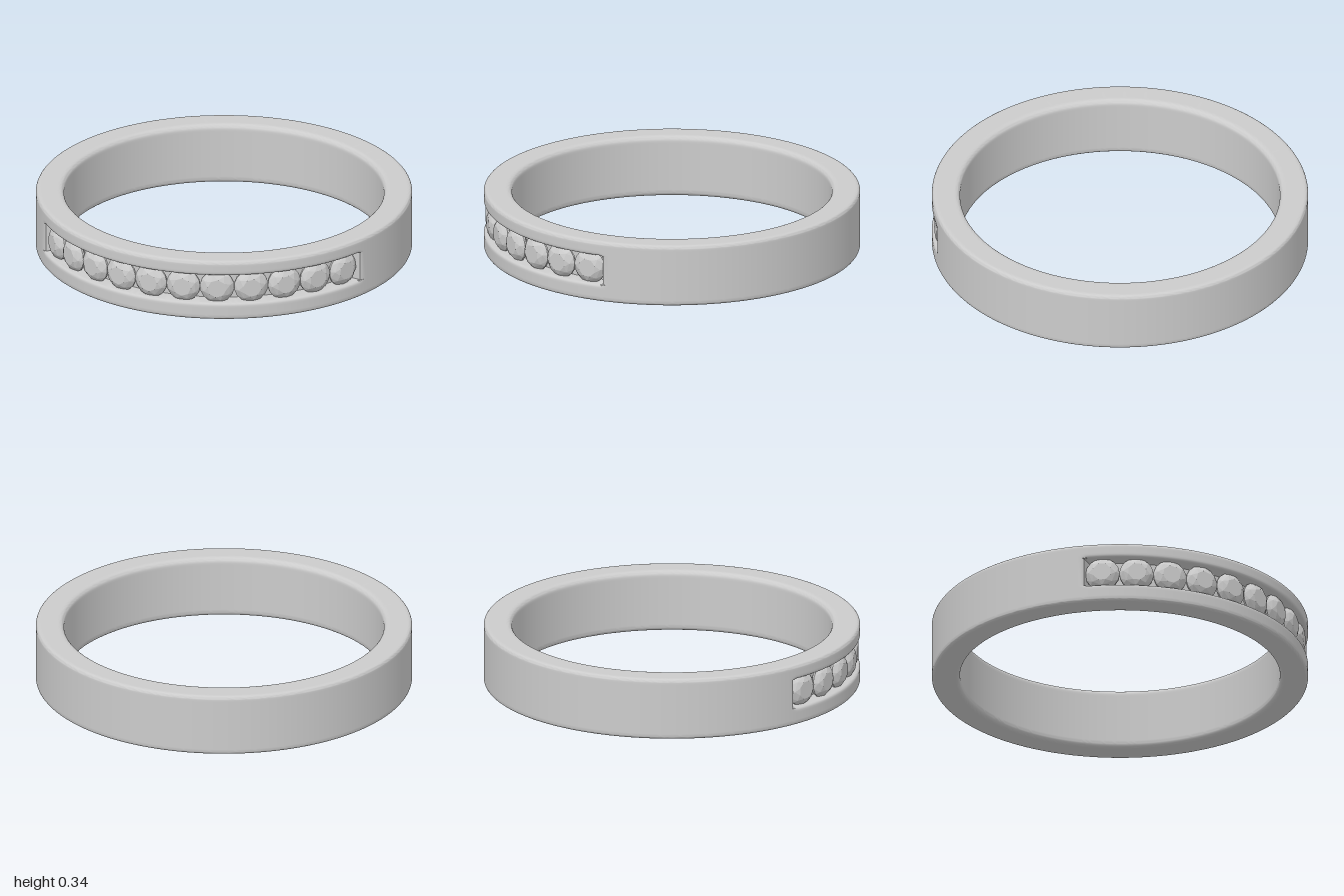
import * as THREE from 'three';
import { toCreasedNormals } from 'three/addons/utils/BufferGeometryUtils.js';
import { ConvexGeometry } from 'three/addons/geometries/ConvexGeometry.js';

const H = 0.335, OUTER = 1, INNER = 0.85;
const MID = 0.175, HALF = 0.08, LIP = 0.016, FLOOR = 0.91; // channel
const END = THREE.MathUtils.degToRad(60.6);
const STONES = 11, STEP = THREE.MathUtils.degToRad(10.9);

const material = new THREE.MeshStandardMaterial({ color: 0xcccccc });

// Points of a rounded corner from angle a0 to a1
function fillet(cx, cy, r, a0, a1, n = 6) {
  const pts = [];
  for (let i = 0; i <= n; i++) {
    const a = (a0 + (a1 - a0) * i / n) * Math.PI / 180;
    pts.push(new THREE.Vector2(cx + r * Math.cos(a), cy + r * Math.sin(a)));
  }
  return pts;
}

// Band: lathed cross-section whose channel is filled flush outside the stone row
function bandGeometry() {
  const ri = 0.028, ro = 0.02;
  const lo = MID - HALF, hi = MID + HALF;
  const V = (x, y) => new THREE.Vector2(x, y);
  const profile = [
    V(INNER, H / 2), V(INNER, ri + 0.01),
    ...fillet(INNER + ri, ri, ri, 180, 270),
    V(INNER + ri + 0.01, 0), V(OUTER - ro - 0.01, 0),
    ...fillet(OUTER - ro, ro, ro, -90, 0),
    V(OUTER, ro + 0.01), V(OUTER, lo - LIP - 0.01),
    ...fillet(OUTER - LIP, lo - LIP, LIP, 0, 90, 4),
    V(FLOOR, lo), V(FLOOR, hi),
    ...fillet(OUTER - LIP, hi + LIP, LIP, -90, 0, 4),
    V(OUTER, hi + LIP + 0.01), V(OUTER, H - ro - 0.01),
    ...fillet(OUTER - ro, H - ro, ro, 0, 90),
    V(OUTER - ro - 0.01, H), V(INNER + ri + 0.01, H),
    ...fillet(INNER + ri, H - ri, ri, 90, 180),
    V(INNER, H - ri - 0.01), V(INNER, H / 2),
  ];
  const geo = new THREE.LatheGeometry(profile, 360, Math.PI);
  const p = geo.attributes.position;
  for (let i = 0; i < p.count; i++) {
    const x = p.getX(i), y = p.getY(i), z = p.getZ(i);
    const r = Math.hypot(x, z);
    if (r < FLOOR - 0.001 || Math.abs(y - MID) > HALF + LIP + 0.001) continue;
    const inside = (END - Math.abs(Math.atan2(x, z))) * 180 / Math.PI;
    // soft rim, then a steep end wall
    const depth = inside <= 0 ? 0 : inside < 1 ? 0.12 : 1;
    const s = (OUTER + (r - OUTER) * depth) / r;
    p.setXYZ(i, x * s, y, z * s);
  }
  geo.deleteAttribute('normal');
  geo.deleteAttribute('uv');
  return toCreasedNormals(geo, 0.75);
}

// Brilliant-cut stone, table facing +z, girdle near z = 0
function stoneGeometry() {
  const pts = [];
  const ring = (r, z, n, turn = 0) => {
    for (let i = 0; i < n; i++) {
      const a = (i + turn) / n * Math.PI * 2;
      pts.push(new THREE.Vector3(r * Math.cos(a), r * Math.sin(a), z));
    }
  };
  ring(0.05, 0.04, 8, 0.5);    // table
  ring(0.074, 0.027, 8);       // crown
  ring(0.092, 0.004, 16);      // girdle
  ring(0.092, -0.006, 16);
  pts.push(new THREE.Vector3(0, 0, -0.065)); // culet
  return new ConvexGeometry(pts);
}

export function createModel() {
  const group = new THREE.Group();
  group.name = 'ring';

  const band = new THREE.Mesh(bandGeometry(), material);
  band.name = 'band';
  group.add(band);

  // Row of stones along the front channel
  const stones = new THREE.Group();
  stones.name = 'stones';
  const gem = stoneGeometry();
  const gemMaterial = material.clone();
  gemMaterial.flatShading = true;
  for (let i = 0; i < STONES; i++) {
    const a = (i - (STONES - 1) / 2) * STEP;
    const stone = new THREE.Mesh(gem, gemMaterial);
    stone.name = `stone${i + 1}`;
    stone.position.set(0.95 * Math.sin(a), MID, 0.95 * Math.cos(a));
    stone.rotation.set(0, a, i * 0.7, 'YXZ'); // each turned a little in its seat
    stones.add(stone);
  }
  group.add(stones);
  return group;
}
